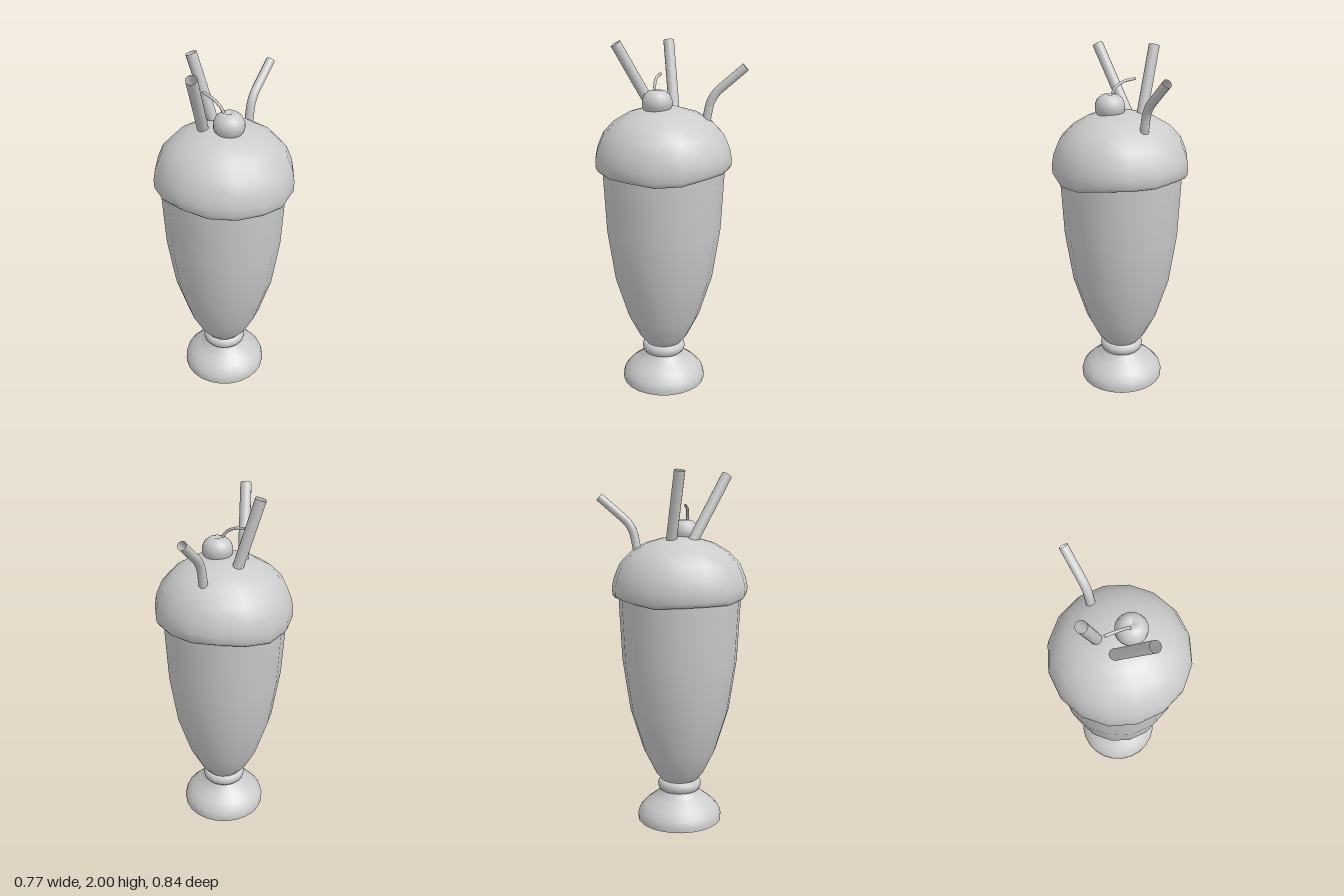
import * as THREE from 'three';
import { mergeVertices, toCreasedNormals } from 'three/addons/utils/BufferGeometryUtils.js';

const CX = -0.005, CZ = 0.04; // axis of the glass
const grey = new THREE.MeshStandardMaterial({ color: 0xcccccc });
const greyThin = new THREE.MeshStandardMaterial({ color: 0xcccccc, side: THREE.DoubleSide });

const v2 = (list) => list.map(([x, y]) => new THREE.Vector2(x, y));
const v3 = (list) => list.map((p) => new THREE.Vector3(...p));

export function createModel() {
  const group = new THREE.Group();
  const add = (name, geometry, material = grey) => {
    const mesh = new THREE.Mesh(geometry, material);
    mesh.name = name;
    group.add(mesh);
    return mesh;
  };

  // Foot of the glass, with a flat underside
  const foot = new THREE.LatheGeometry(v2([
    [0, 0], [0.243, 0], [0.245, 0.025], [0.236, 0.06], [0.2, 0.1],
    [0.155, 0.135], [0.12, 0.165], [0.105, 0.19], [0.1, 0.22],
  ]), 24);
  add('foot', toCreasedNormals(foot, 0.9)).position.set(CX, 0, CZ);

  // Collar ring between foot and bowl
  add('collar', new THREE.LatheGeometry(v2([
    [0.095, 0.178], [0.113, 0.18], [0.124, 0.194], [0.126, 0.21],
    [0.124, 0.226], [0.113, 0.24], [0.095, 0.245],
  ]), 24)).position.set(CX, 0, CZ);

  // Tall flared bowl
  add('bowl', new THREE.LatheGeometry(v2([
    [0.09, 0.22], [0.108, 0.245], [0.145, 0.29], [0.21, 0.42], [0.285, 0.66],
    [0.328, 0.95], [0.345, 1.28], [0.345, 1.34],
  ]), 16), greyThin).position.set(CX, 0, CZ);

  // Whipped cream dome whose lower lip rises and falls around the glass
  const cream = new THREE.LatheGeometry(v2([
    [0.3, 1.32], [0.345, 1.296], [0.368, 1.294], [0.381, 1.315], [0.383, 1.36],
    [0.372, 1.42], [0.338, 1.5], [0.275, 1.565], [0.19, 1.615], [0.1, 1.64], [0, 1.648],
  ]), 16);
  const pos = cream.attributes.position;
  for (let i = 0; i < pos.count; i++) {
    const x = pos.getX(i), y = pos.getY(i), a = Math.atan2(pos.getZ(i), x);
    const weight = THREE.MathUtils.clamp((1.42 - y) / 0.12, 0, 1);
    pos.setY(i, y - weight * (0.017 * Math.cos(2 * a) + 0.007 * Math.cos(5 * a + 1)));
  }
  cream.deleteAttribute('normal');
  cream.deleteAttribute('uv');
  const creamSmooth = mergeVertices(cream, 1e-4);
  creamSmooth.computeVertexNormals();
  add('whippedCream', creamSmooth, greyThin).position.set(0, 0, CZ);

  // Cherry with a dimple where the stem enters
  add('cherry', new THREE.LatheGeometry(v2([
    [0, -0.075], [0.035, -0.07], [0.065, -0.047], [0.083, -0.012], [0.083, 0.02],
    [0.07, 0.05], [0.045, 0.07], [0.022, 0.074], [0, 0.062],
  ]), 20)).position.set(0.05, 1.667, 0.066);
  const stem = new THREE.CatmullRomCurve3(v3([
    [0.035, 1.72, 0.079], [0.012, 1.765, 0.083], [-0.04, 1.798, 0.08], [-0.112, 1.812, 0.067],
  ]));
  add('cherryStem', new THREE.TubeGeometry(stem, 12, 0.008, 8), greyThin);

  // Two straight straws
  const straight = [
    ['leftLeaningStraw', [-0.075, 1.51, -0.022], [-0.209, 1.99, 0.034]],
    ['frontLeaningStraw', [-0.105, 1.53, 0.06], [-0.003, 1.98, 0.298]],
  ];
  for (const [name, from, to] of straight) {
    const path = new THREE.LineCurve3(...v3([from, to]));
    add(name, new THREE.TubeGeometry(path, 1, 0.03, 14), greyThin);
  }

  // Bent straw leaning to the back
  const bend = new THREE.CurvePath();
  const [a, b, c, d, e] = v3([
    [-0.005, 1.5, -0.185], [-0.005, 1.645, -0.212], [-0.005, 1.705, -0.225],
    [-0.005, 1.745, -0.27], [-0.005, 1.862, -0.405],
  ]);
  bend.add(new THREE.LineCurve3(a, b));
  bend.add(new THREE.QuadraticBezierCurve3(b, c, d));
  bend.add(new THREE.LineCurve3(d, e));
  add('bentStraw', new THREE.TubeGeometry(bend, 24, 0.024, 14), greyThin);

  return group;
}
